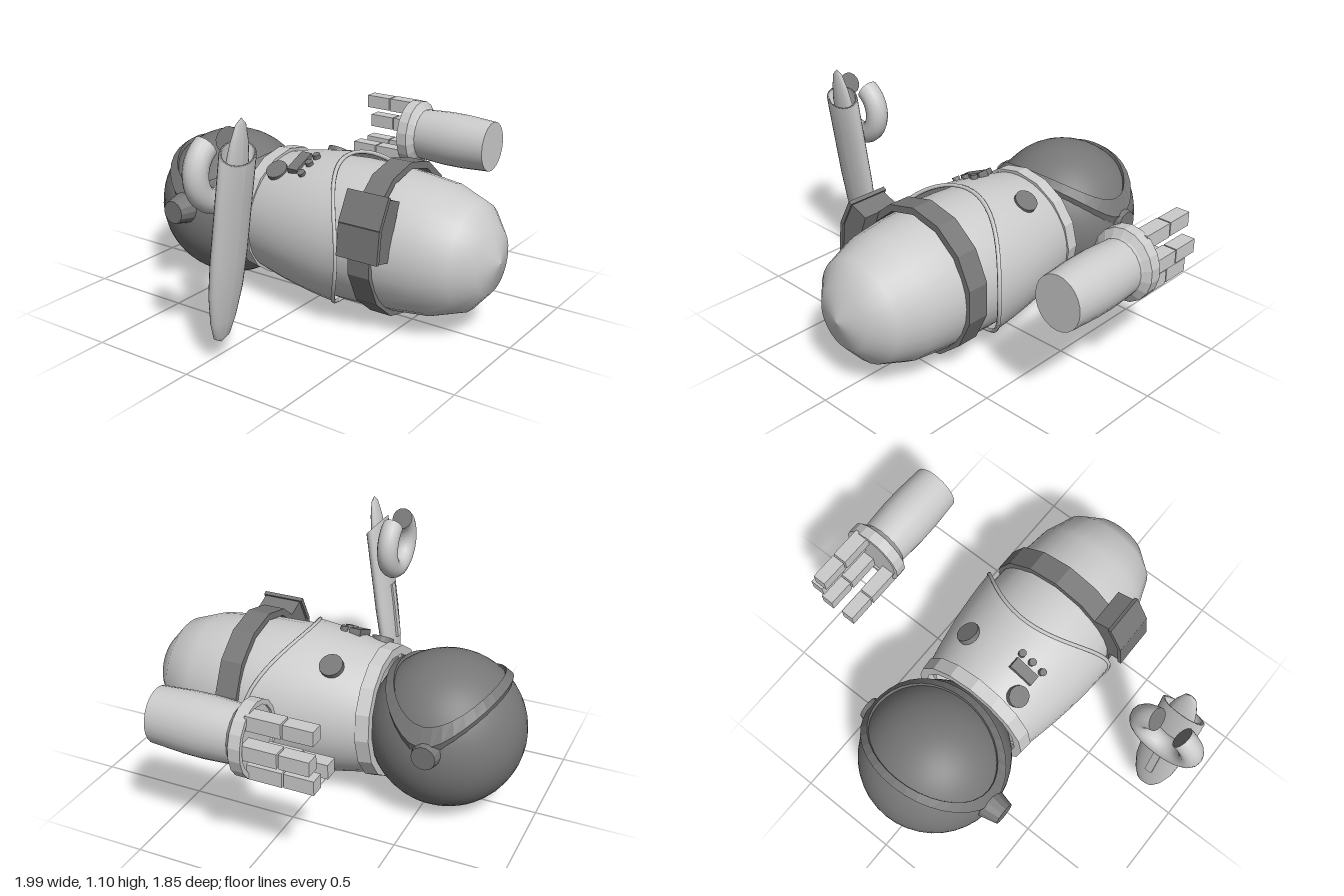
import * as THREE from 'three';

const CX = 0.02, CY = 0.38; // body axis, running along z
const mat = (color, flat = false) =>
  new THREE.MeshStandardMaterial({ color, flatShading: flat, side: THREE.DoubleSide });
const light = mat(0xcccccc), lightFlat = mat(0xcccccc, true);
const dark = mat(0x777777), darkFlat = mat(0x777777, true);

function add(parent, name, geometry, material, x = 0, y = 0, z = 0) {
  const mesh = new THREE.Mesh(geometry, material);
  mesh.name = name;
  mesh.position.set(x, y, z);
  parent.add(mesh);
  return mesh;
}

// Lathe whose axis lies along z; profile is [radius, z] pairs in rising z
function latheZ(profile, sides) {
  return new THREE.LatheGeometry(profile.map(p => new THREE.Vector2(...p)), sides).rotateX(Math.PI / 2);
}

// Surface closed around u, open (or closed by the rule itself) along v
function loopSurface(nu, nv, rule) {
  const pos = [], idx = [];
  for (let j = 0; j <= nv; j++)
    for (let i = 0; i < nu; i++) pos.push(...rule((i / nu) * Math.PI * 2, j / nv));
  for (let j = 0; j < nv; j++)
    for (let i = 0; i < nu; i++) {
      const k = (i + 1) % nu, a = j * nu + i, b = j * nu + k, c = a + nu, d = b + nu;
      idx.push(a, c, b, b, c, d);
    }
  const g = new THREE.BufferGeometry();
  g.setAttribute('position', new THREE.Float32BufferAttribute(pos, 3));
  g.setIndex(idx);
  g.computeVertexNormals();
  return g;
}

// Jacket radius along z, and the hem that reaches further down at the sides
const jacketRadius = z => 0.377 - 0.21 * Math.pow(Math.max(0, 0.31 - z), 1.8);
const hemZ = t => 0.13 + 0.18 * Math.cos(t) ** 2;
const jacketPoint = (t, z, grow = 0) => {
  const r = jacketRadius(z) + grow;
  return [r * Math.cos(t), r * Math.sin(t) * 0.97, z];
};

function buildHead() {
  const head = new THREE.Group();
  head.name = 'head';
  head.position.set(CX, 0.37, -0.56);
  add(head, 'helmet', new THREE.SphereGeometry(0.365, 40, 28), dark);

  // Visor frame: ellipses seen from above, projected on to spheres
  const section = [
    [0.36, 0.27, 0.363], [0.374, 0.274, 0.386], [0.335, 0.238, 0.38], [0.325, 0.232, 0.355], [0.36, 0.27, 0.363],
  ];
  add(head, 'visorFrame', loopSurface(36, 4, (t, v) => {
    const [a, b, r] = section[Math.round(v * 4)];
    const x = a * Math.cos(t), z = b * Math.sin(t);
    return [x, Math.sqrt(Math.max(0, r * r - x * x - z * z)), z];
  }), darkFlat);

  // Ear pieces
  for (const [side, reach] of [[-1, 0.44], [1, 0.39]]) {
    const g = new THREE.CylinderGeometry(0.056, 0.078, 0.09, 14).rotateZ(-side * Math.PI / 2);
    add(head, side > 0 ? 'leftEarPiece' : 'rightEarPiece', g, darkFlat, side * (reach - 0.045), 0.055, -0.025);
  }
  return head;
}

function buildBody() {
  const body = new THREE.Group();
  body.name = 'body';
  body.position.set(CX, CY, 0);

  add(body, 'lowerBody', latheZ([[0.325, 0], [0.338, 0.2], [0.333, 0.35], [0.325, 0.48], [0.305, 0.65],
    [0.25, 0.8], [0.15, 0.885], [0, 0.925]], 28), light);

  add(body, 'jacket', loopSurface(40, 8, (t, v) =>
    jacketPoint(t, THREE.MathUtils.lerp(-0.28, hemZ(t), v))), light);
  const hem = Array.from({ length: 40 }, (_, i) => {
    const t = (i / 40) * Math.PI * 2;
    return new THREE.Vector3(...jacketPoint(t, hemZ(t), -0.002));
  });
  add(body, 'jacketHem', new THREE.TubeGeometry(new THREE.CatmullRomCurve3(hem, true), 60, 0.01, 6, true), light);

  const collar = add(body, 'collar', latheZ([[0.27, -0.035], [0.312, -0.035], [0.318, 0.03], [0.28, 0.03]], 16),
    lightFlat, 0, 0.005, -0.262);
  collar.rotation.x = 0.06;

  const belt = add(body, 'belt', latheZ([[0.32, -0.055], [0.352, -0.055], [0.352, 0.055], [0.32, 0.055],
    [0.32, -0.055]], 14), darkFlat, 0, 0.012, 0.41);
  belt.scale.y = 1.04;

  // Chest fittings, laid on the curve of the jacket
  const onChest = (name, geometry, x, z, lift = 0) => {
    const dx = x - CX, r = jacketRadius(z) * 0.98 + lift, a = Math.asin(dx / r);
    const mesh = add(body, name, geometry, darkFlat, dx, r * Math.cos(a), z);
    mesh.rotation.z = -a;
  };
  const disc = r => new THREE.CylinderGeometry(r, r, 0.035, 18);
  onChest('chestDisc', disc(0.052), -0.157, -0.155);
  onChest('chestDial', disc(0.056), 0.207, -0.06);
  onChest('controlPanel', new THREE.BoxGeometry(0.13, 0.035, 0.056), -0.113, -0.057);
  for (const x of [-0.175, -0.117, -0.06]) onChest('panelButton', disc(0.018), x, 0);
  return body;
}

// Bent pouch hanging on the belt
function buildPouch() {
  const pouch = new THREE.Group();
  pouch.name = 'beltPouch';
  const outline = [[-0.385, 0.42], [-0.367, 0.57], [-0.3, 0.69], [-0.21, 0.655], [-0.25, 0.55], [-0.3, 0.4]];
  const shape = new THREE.Shape(outline.map(p => new THREE.Vector2(...p)));
  add(pouch, 'pouchBody', new THREE.ExtrudeGeometry(shape, { depth: 0.19, bevelEnabled: false }), darkFlat, 0, 0, 0.355);
  const flap = add(pouch, 'pouchFlap', new THREE.BoxGeometry(0.02, 0.15, 0.21), darkFlat, -0.338, 0.635, 0.448);
  flap.rotation.z = -0.49;
  const side = add(pouch, 'pouchSide', new THREE.BoxGeometry(0.02, 0.15, 0.21), darkFlat, -0.381, 0.495, 0.448);
  side.rotation.z = -0.12;
  return pouch;
}

// Loose forearm with cuff and jointed fingers
function buildHand() {
  const hand = new THREE.Group();
  hand.name = 'leftHand';
  hand.position.set(0.838, 0.62, 0);
  const arm = add(hand, 'forearm', latheZ([[0.117, 0.02], [0.122, 0.1], [0.127, 0.2], [0.126, 0.3], [0.117, 0.45]], 24), light);
  const end = add(hand, 'forearmEnd', new THREE.CircleGeometry(0.117, 24), light, 0, 0, 0.45);
  const cuff = add(hand, 'cuff', latheZ([[0, -0.015], [0.135, -0.015], [0.135, -0.025], [0.156, -0.025], [0.156, 0.03],
    [0.128, 0.05], [0.118, 0.06]], 18), lightFlat);
  for (const m of [arm, end, cuff]) m.scale.y = 1.1;
  for (const [x, y] of [[0.052, 0.118], [0.092, 0.002], [0.052, -0.11], [-0.078, -0.11]]) {
    add(hand, 'fingerBase', new THREE.BoxGeometry(0.07, 0.068, 0.16), lightFlat, x, y, -0.095);
    add(hand, 'fingerTip', new THREE.BoxGeometry(0.066, 0.066, 0.135), lightFlat, x, y, -0.25);
  }
  return hand;
}

// Loose pointed sheath with an insert at its mouth and an open ring behind
function buildSheath() {
  const sheath = new THREE.Group();
  sheath.name = 'sheath';
  sheath.position.x = -0.812;
  // Flatten in depth, slope the mouth, lean the top forward
  const lean = (g, slopeMouth) => {
    const p = g.attributes.position;
    for (let i = 0; i < p.count; i++) {
      const z = p.getZ(i) * 0.43;
      const y = p.getY(i) - (slopeMouth && p.getY(i) > 0.9 ? z * 0.95 : 0);
      p.setXYZ(i, p.getX(i), y, z + 0.155 + 0.14 * (y - 0.95));
    }
    g.computeVertexNormals();
    return g;
  };
  const lathe = (pts, n) => new THREE.LatheGeometry(pts.map(q => new THREE.Vector2(...q)), n);
  add(sheath, 'sheathBody', lean(lathe([[0, 0.09], [0.048, 0.12], [0.075, 0.2], [0.1, 0.34], [0.108, 0.5], [0.108, 0.75],
    [0.108, 0.955], [0.092, 0.955], [0.088, 0.85], [0, 0.85]], 24), true), light);
  add(sheath, 'pointedInsert', lean(lathe([[0.066, 0.84], [0.066, 0.93], [0.052, 1.01], [0.03, 1.08], [0, 1.107]], 16), false), light);
  const slot = add(sheath, 'backStrip', new THREE.BoxGeometry(0.036, 0.3, 0.02), lightFlat, 0, 0.49, 0.046);
  slot.rotation.x = 0.14;

  // Ring open at the top, with capped ends
  const ring = new THREE.Group();
  ring.name = 'openRing';
  ring.position.set(-0.003, 0.87, 0.045);
  sheath.add(ring);
  const arc = add(ring, 'ringArc', new THREE.TorusGeometry(0.13, 0.054, 14, 36, Math.PI * 5 / 3), light);
  arc.rotation.z = Math.PI * 2 / 3;
  for (const a of [Math.PI / 3, Math.PI * 2 / 3]) {
    const cap = add(ring, 'ringEnd', new THREE.CircleGeometry(0.054, 14).rotateX(-Math.PI / 2), dark,
      0.13 * Math.cos(a), 0.13 * Math.sin(a), 0);
    cap.rotation.z = a;
  }
  return sheath;
}

export function createModel() {
  const model = new THREE.Group();
  model.name = 'spaceSuitFigure';
  model.add(buildHead(), buildBody(), buildPouch(), buildHand(), buildSheath());
  return model;
}
